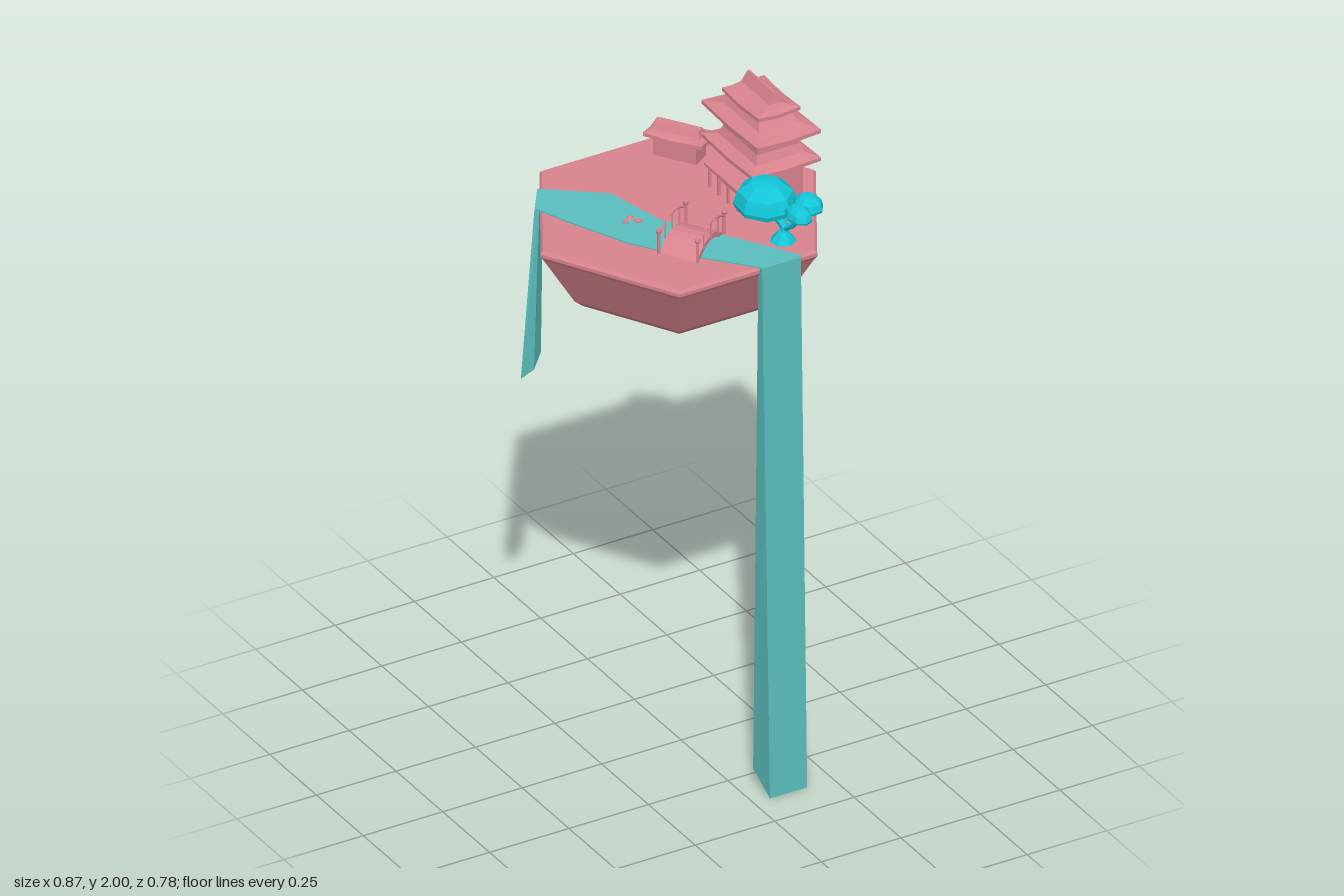
import * as THREE from 'three';

const mat = (name, color) => {
  const m = new THREE.MeshStandardMaterial({ color, flatShading: true });
  m.name = name;
  return m;
};

// Joins closed loops of points (bottom to top, counterclockwise from above) and caps both ends
function loft(loops) {
  const n = loops[0].length, pos = [];
  const tri = (a, b, c) => pos.push(...a, ...b, ...c);
  for (let k = 0; k < loops.length - 1; k++) {
    for (let i = 0; i < n; i++) {
      const j = (i + 1) % n, lo = loops[k], hi = loops[k + 1];
      tri(lo[i], lo[j], hi[j]);
      tri(lo[i], hi[j], hi[i]);
    }
  }
  const bot = loops[0], top = loops[loops.length - 1];
  for (let i = 1; i < n - 1; i++) {
    tri(top[0], top[i], top[i + 1]);
    tri(bot[0], bot[i + 1], bot[i]);
  }
  const g = new THREE.BufferGeometry();
  g.setAttribute('position', new THREE.Float32BufferAttribute(pos, 3));
  g.computeVertexNormals();
  return g;
}

// Rectangle with edge midpoints; corners can be lifted for upturned eaves
const rect = (hx, hz, y, lift = 0) => [
  [-hx, y + lift, hz], [0, y, hz], [hx, y + lift, hz], [hx, y, 0],
  [hx, y + lift, -hz], [0, y, -hz], [-hx, y + lift, -hz], [-hx, y, 0],
];

// Concave hip roof from eave half sizes to top half sizes
function hipRoof(hx, hz, h, tx, tz) {
  const mix = (a, b, t) => a + (b - a) * t;
  const ring = (t, y, lift) => rect(mix(hx, tx, t), mix(hz, tz, t), y, lift);
  return loft([
    ring(0.35, 0.004, 0), ring(0, 0, 0.006), ring(0, 0.011, 0.006),
    ring(0.4, 0.011 + h * 0.17, 0.001), ring(0.75, h * 0.52, 0), ring(1, h, 0),
  ]);
}

export function createModel() {
  const pink = mat('dusty pink', 0xd8838d);
  const water = mat('water teal', 0x5cbfbf);
  const leaf = mat('bright turquoise', 0x12c6d8);
  const root = new THREE.Group();
  root.name = 'floatingIsland';
  const TOP = 1.663;

  const group = (name, x = 0, y = 0, z = 0, ry = 0) => {
    const g = new THREE.Group();
    g.name = name;
    g.position.set(x, y, z);
    g.rotation.y = ry;
    root.add(g);
    return g;
  };
  const add = (parent, name, geo, m, x = 0, y = 0, z = 0) => {
    const mesh = new THREE.Mesh(geo, m);
    mesh.name = name;
    mesh.position.set(x, y, z);
    parent.add(mesh);
    return mesh;
  };
  const box = (w, h, d) => new THREE.BoxGeometry(w, h, d);
  const tube = (pts, r, seg = 8) => new THREE.TubeGeometry(
    new THREE.CatmullRomCurve3(pts.map(p => new THREE.Vector3(...p))), seg, r, 6);

  // Hexagonal rock
  const profile = [[0, 1.445], [0.2, 1.445], [0.3, 1.452], [0.327, 1.475], [0.424, 1.633],
    [0.433, 1.645], [0.433, 1.655], [0.425, TOP], [0, TOP]];
  add(root, 'islandRock', new THREE.LatheGeometry(
    profile.map(p => new THREE.Vector2(...p)), 6, Math.PI / 2), pink, 0, 0, -0.015);

  // Stream across the top
  const bank = [[-0.33, -0.21], [-0.29, -0.11], [-0.207, 0.07], [-0.15, 0.15], [-0.075, 0.237],
    [0.037, 0.365], [0.165, 0.365], [0.06, 0.2], [0, 0.115], [-0.07, 0.007], [-0.115, -0.18], [-0.27, -0.3]];
  const stream = new THREE.ExtrudeGeometry(
    new THREE.Shape(bank.map(([x, z]) => new THREE.Vector2(x, -z))), { depth: 0.005, bevelEnabled: false });
  add(root, 'stream', stream.rotateX(-Math.PI / 2), water, 0, TOP - 0.001, 0);

  // Waterfalls at both ends
  const Y = TOP + 0.003;
  add(root, 'frontWaterfall', loft([
    [[0.05, 0, 0.39], [0.167, 0, 0.39], [0.167, 0.05, 0.3], [0.05, 0.05, 0.3]],
    [[0.036, Y, 0.372], [0.158, Y, 0.372], [0.155, Y, 0.35], [0.037, Y, 0.35]],
  ]), water);
  add(root, 'backWaterfall', loft([
    [[-0.345, 1.17, -0.2], [-0.282, 1.17, -0.27], [-0.3, 1.125, -0.305], [-0.363, 1.125, -0.24]],
    [[-0.325, Y, -0.205], [-0.262, Y, -0.292], [-0.275, Y, -0.302], [-0.336, Y, -0.213]],
  ]), water);

  // Water lily with floating petals
  const lily = group('waterLily', -0.137, TOP + 0.004, -0.04);
  add(lily, 'lilyFlower', new THREE.ConeGeometry(0.012, 0.012, 7), pink, 0, 0.006, 0);
  for (const [x, z, r] of [[-0.02, 0.012, 0.008], [0.012, 0.024, 0.012]]) {
    add(lily, 'lilyPad', new THREE.CylinderGeometry(r, r, 0.003, 6), pink, x, 0.001, z);
  }

  // Arched bridge, spanning along its own x
  const bridge = group('bridge', -0.058, TOP, 0.155, 0.596);
  const arch = new THREE.Shape();
  const half = 0.085;
  arch.moveTo(-half, 0);
  arch.quadraticCurveTo(0, 0.078, half, 0);
  arch.lineTo(half - 0.022, 0);
  arch.quadraticCurveTo(0, 0.048, -half + 0.022, 0);
  add(bridge, 'bridgeDeck', new THREE.ExtrudeGeometry(arch,
    { depth: 0.112, bevelEnabled: false, curveSegments: 7 }), pink, 0, 0, -0.056);
  for (const s of [-1, 1]) {
    const z = s * 0.058;
    add(bridge, 'handrail', tube([[-half, 0.056, z], [-0.045, 0.076, z], [0, 0.084, z],
      [0.045, 0.076, z], [half, 0.056, z]], 0.003), pink);
    for (const x of [-half, half]) {
      add(bridge, 'bridgePost', new THREE.CylinderGeometry(0.005, 0.005, 0.07, 6), pink, x, 0.035, z);
      add(bridge, 'postCap', new THREE.SphereGeometry(0.009, 6, 4), pink, x, 0.07, z);
    }
    for (const x of [-0.045, 0, 0.045]) {
      add(bridge, 'baluster', new THREE.CylinderGeometry(0.0025, 0.0025, 0.055, 5), pink, x, 0.053, z);
    }
  }

  // Three-tier pagoda: body half sizes, base and top height, then roof
  const pagoda = group('pagoda', 0.255, 0, -0.005);
  const tiers = [
    { b: [0.076, 0.095, TOP - 0.002, 1.8], r: [0.107, 0.138, 1.78, 0.052, 0.066, 0.092] },
    { b: [0.066, 0.092, 1.8, 1.9], r: [0.1, 0.15, 1.876, 0.05, 0.05, 0.075] },
    { b: [0.048, 0.074, 1.9, 1.95], r: [0.066, 0.097, 1.932, 0.068, 0.003, 0.068] },
  ];
  for (const { b, r } of tiers) {
    add(pagoda, 'pagodaWalls', box(b[0] * 2, b[3] - b[2], b[1] * 2), pink, 0, (b[2] + b[3]) / 2, 0);
    add(pagoda, 'pagodaRoof', hipRoof(r[0], r[1], r[3], r[4], r[5]), pink, 0, r[2], 0);
  }
  // Porch on the bridge side
  add(pagoda, 'porchRoof', loft([
    [[-0.128, 1.728, 0.088], [-0.07, 1.75, 0.088], [-0.07, 1.75, -0.088], [-0.128, 1.728, -0.088]],
    [[-0.128, 1.736, 0.088], [-0.07, 1.765, 0.075], [-0.07, 1.765, -0.075], [-0.128, 1.736, -0.088]],
  ]), pink);
  for (const z of [-0.075, -0.025, 0.025, 0.075]) {
    add(pagoda, 'porchPost', box(0.007, 0.072, 0.007), pink, -0.118, TOP + 0.034, z);
  }

  // Small hut
  const hut = group('hut', 0.152, TOP, -0.267, 0.59);
  add(hut, 'hutWalls', box(0.06, 0.07, 0.13), pink, 0, 0.033, 0);
  add(hut, 'hutRoof', hipRoof(0.046, 0.088, 0.04, 0.013, 0.064), pink, 0, 0.056, 0);

  // Tree with a flared trunk, branches and umbrella-like crowns
  const tree = group('tree');
  add(tree, 'trunkBase', new THREE.CylinderGeometry(0.014, 0.038, 0.03, 7), leaf, 0.165, TOP + 0.014, 0.265);
  add(tree, 'trunk', tube([[0.165, TOP + 0.01, 0.265], [0.172, 1.7, 0.262], [0.16, 1.73, 0.235],
    [0.15, 1.77, 0.205]], 0.013), leaf);
  const crown = [[0, -0.1], [0.55, -0.2], [0.95, -0.38], [1, -0.2], [0.85, 0.25], [0.5, 0.55], [0, 0.62]]
    .map(p => new THREE.Vector2(...p));
  // Position, then half sizes in x, height and z
  const crowns = [
    [0.148, 1.772, 0.2, 0.088, 0.08, 0.092],
    [0.23, 1.772, 0.288, 0.041, 0.04, 0.05],
    [0.172, 1.78, 0.335, 0.034, 0.035, 0.05],
  ];
  crowns.forEach(([x, y, z, sx, sy, sz], i) => {
    const c = add(tree, 'crown', new THREE.LatheGeometry(crown, 8, 0.3 + i * 0.2), leaf, x, y, z);
    c.scale.set(sx, sy, sz);
    if (i) add(tree, 'branch', tube([[0.17, 1.695, 0.262], [(x + 0.17) / 2, 1.73, (z + 0.262) / 2 + 0.01],
      [x, y, z]], 0.007), leaf);
  });

  return root;
}
